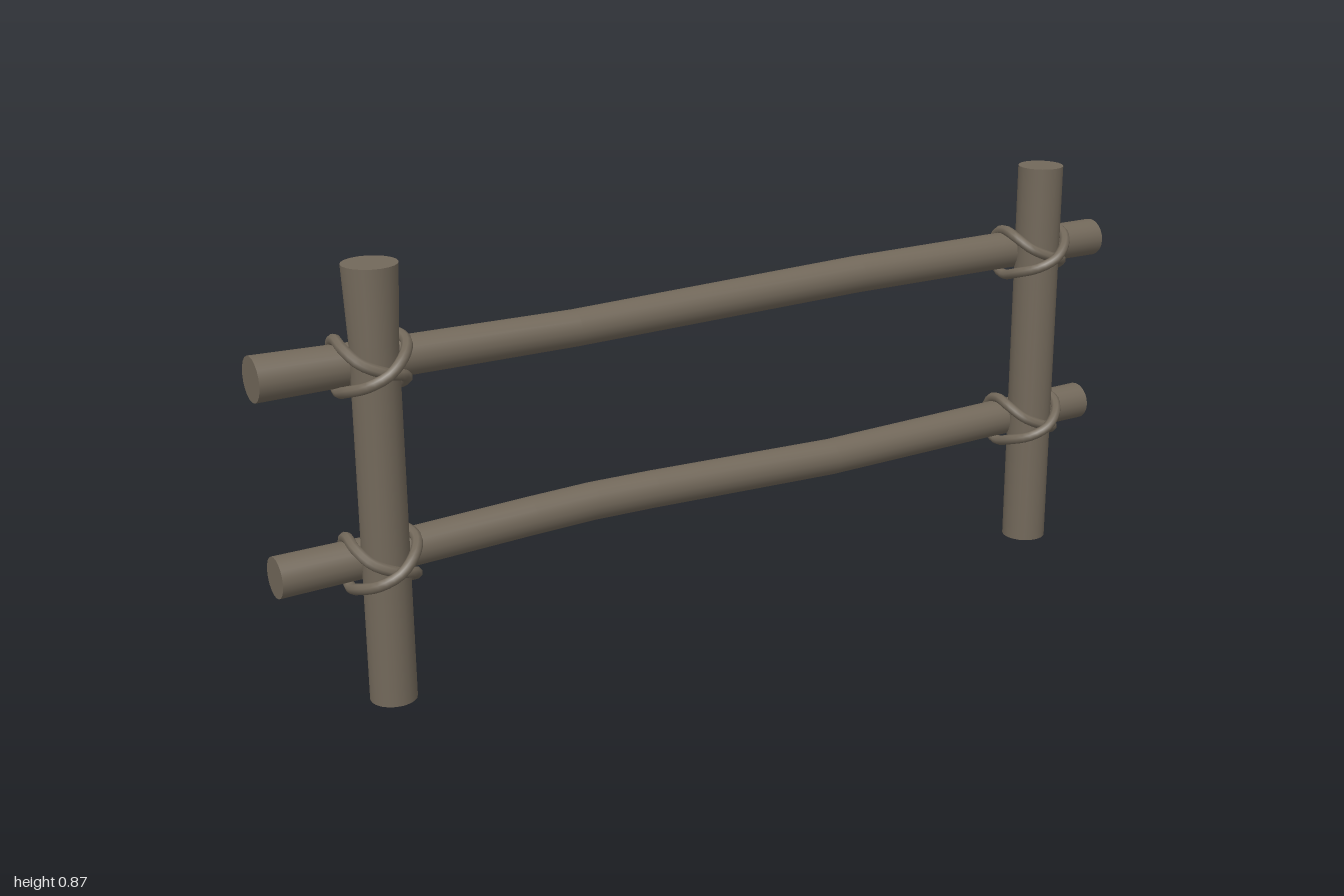
import * as THREE from 'three';

const wood = new THREE.MeshStandardMaterial({ color: 0x72685a });
wood.name = 'weathered wood';

// Round pole through stations [along, offset, radius]; stands along y
function poleGeometry(stations) {
  const n = stations.length - 1;
  const geo = new THREE.CylinderGeometry(1, 1, 1, 20, n);
  const pos = geo.attributes.position;
  for (let i = 0; i < pos.count; i++) {
    const [along, offset, r] = stations[Math.round((pos.getY(i) + 0.5) * n)];
    pos.setXYZ(i, pos.getX(i) * r - offset, along, pos.getZ(i) * r);
  }
  return geo;
}

function addMesh(parent, name, geo, x, y, z) {
  const mesh = new THREE.Mesh(geo, wood);
  mesh.name = name;
  mesh.position.set(x, y, z);
  parent.add(mesh);
  return mesh;
}

// Closed rope loop: crosses in front of the post, hooks behind the rail on both sides
function lashingGeometry() {
  const points = [
    [0, 0, 0.077],
    [0.036, 0.026, 0.062], [0.059, 0.044, 0.025], [0.058, 0.050, -0.020],
    [0.053, 0.038, -0.062], [0.050, 0, -0.079], [0.053, -0.036, -0.066],
    [0.058, -0.051, -0.035], [0.060, -0.034, 0.010], [0.042, -0.014, 0.046],
    [0, 0, 0.061],
    [-0.042, 0.020, 0.046], [-0.060, 0.042, 0.010], [-0.058, 0.050, -0.030],
    [-0.053, 0.036, -0.064], [-0.050, 0, -0.079], [-0.053, -0.038, -0.062],
    [-0.058, -0.050, -0.030], [-0.059, -0.036, 0.020], [-0.036, -0.020, 0.062],
  ].map((p) => new THREE.Vector3(...p));
  return new THREE.TubeGeometry(new THREE.CatmullRomCurve3(points, true), 60, 0.011, 8, true);
}

export function createModel() {
  const model = new THREE.Group();
  model.name = 'fence';

  // Upright posts, the right one flared at its top
  const postX = { right: -0.78, left: 0.80 };
  addMesh(model, 'rightPost', poleGeometry([
    [0, 0, 0.046], [0.35, 0, 0.046], [0.72, 0, 0.046], [0.867, 0, 0.053],
  ]), postX.right, 0, 0.012);
  addMesh(model, 'leftPost', poleGeometry([
    [0, 0, 0.048], [0.867, 0, 0.049],
  ]), postX.left, 0, 0.012);

  // Slightly crooked rails behind the posts
  const rails = [
    ['upperRail', 0.67, [
      [-1, 0, 0.044], [-0.73, -0.003, 0.039], [-0.34, -0.007, 0.037],
      [0.34, 0.005, 0.039], [0.73, 0.003, 0.040], [1, 0, 0.041],
    ]],
    ['lowerRail', 0.279, [
      [-0.983, 0, 0.041], [-0.73, 0.002, 0.039], [-0.45, 0.011, 0.039], [-0.31, 0.014, 0.039],
      [-0.17, 0.011, 0.039], [0.28, -0.005, 0.039], [0.73, 0, 0.040], [0.983, 0, 0.041],
    ]],
  ];
  const rope = lashingGeometry();
  for (const [name, y, stations] of rails) {
    const geo = poleGeometry(stations).rotateZ(-Math.PI / 2);
    addMesh(model, name, geo, 0, y, -0.036);
    // Rope lashings at each crossing
    for (const side of ['right', 'left']) {
      addMesh(model, `${name}Lashing_${side}`, rope, postX[side], y, 0);
    }
  }
  return model;
}
